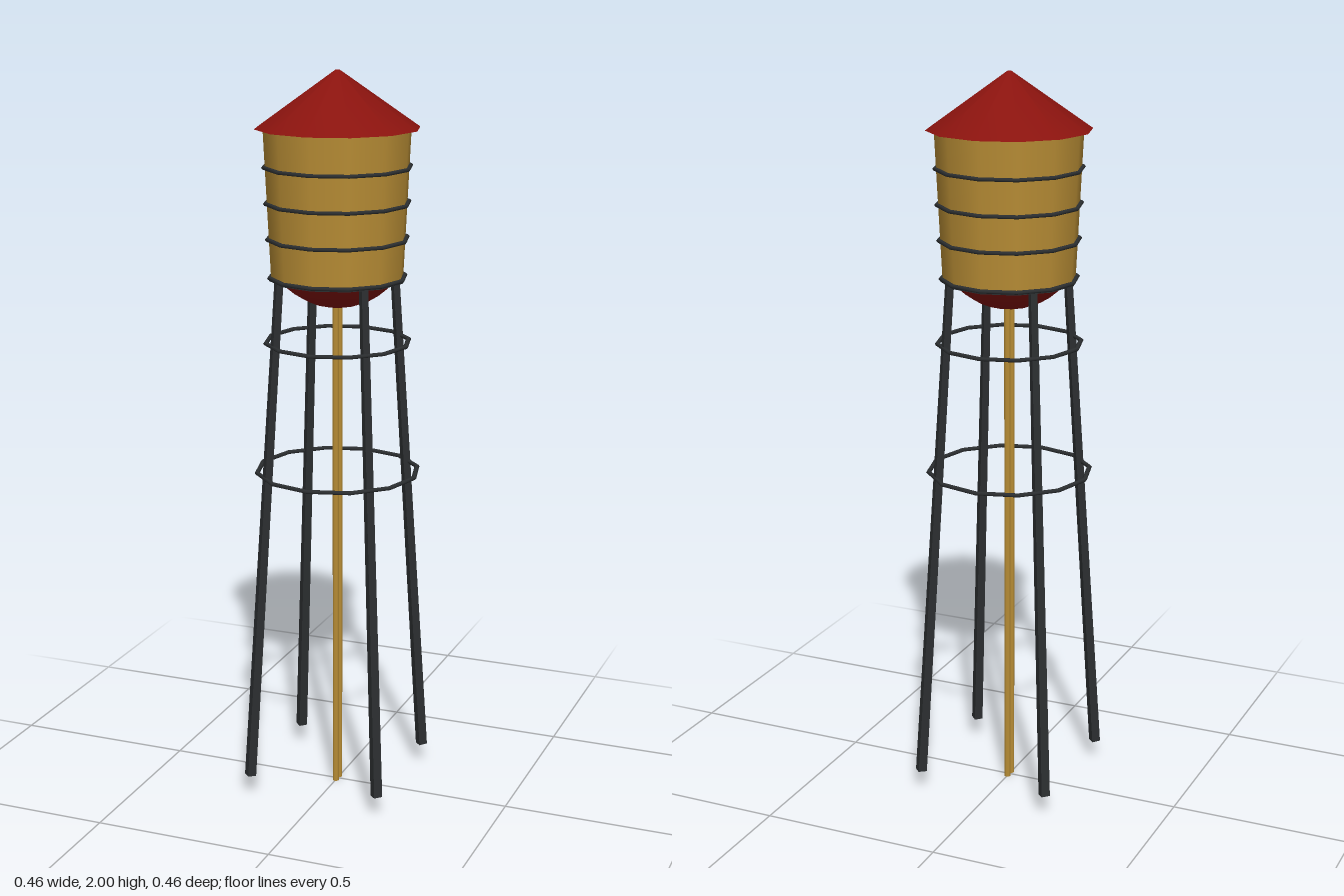
import * as THREE from 'three';

const SIDES = 12;
const red = new THREE.MeshStandardMaterial({ color: 0x8a130e });
const gold = new THREE.MeshStandardMaterial({ color: 0xb88d35 });
const dark = new THREE.MeshStandardMaterial({ color: 0x2c2f31 });

export function createModel() {
  const model = new THREE.Group();
  model.name = 'waterTower';

  const add = (name, geometry, material, x = 0, y = 0, z = 0) => {
    const mesh = new THREE.Mesh(geometry, material);
    mesh.name = name;
    mesh.position.set(x, y, z);
    model.add(mesh);
    return mesh;
  };

  // Twelve-sided hoop lying flat, measured to its outer corners
  const hoop = (name, outer, y, tube) => {
    const geometry = new THREE.TorusGeometry(outer - tube, tube, 6, SIDES);
    geometry.rotateX(Math.PI / 2);
    // slightly flattened section
    geometry.scale(1, 0.75, 1);
    return add(name, geometry, dark, 0, y, 0);
  };

  // Conical roof with closed underside
  add('roof', new THREE.CylinderGeometry(0.006, 0.22, 0.15, SIDES), red, 0, 1.925, 0);

  // Tapered tank and its bands
  add('tank', new THREE.CylinderGeometry(0.197, 0.178, 0.395, SIDES), gold, 0, 1.6525, 0);
  [[0.202, 1.75], [0.198, 1.655], [0.194, 1.56], [0.189, 1.457]].forEach(([r, y], i) =>
    hoop('tankBand' + (i + 1), r, y, 0.007));

  // Base plate and shallow bowl under the tank
  add('basePlate', new THREE.CylinderGeometry(0.184, 0.184, 0.01, SIDES), dark, 0, 1.455, 0);
  const R = 0.2;
  const bowl = [];
  for (let i = 0; i <= 6; i++) {
    const a = (i / 6) * Math.asin(0.16 / R);
    bowl.push(new THREE.Vector2(R * Math.sin(a), 1.575 - R * Math.cos(a)));
  }
  add('bowl', new THREE.LatheGeometry(bowl, SIDES), red);

  // Four splayed square legs, one on each diagonal
  const up = new THREE.Vector3(0, 1, 0);
  for (const sx of [1, -1]) {
    for (const sz of [1, -1]) {
      const foot = new THREE.Vector3(sx * 0.188, 0.06, sz * 0.188);
      const top = new THREE.Vector3(sx * 0.119, 1.455, sz * 0.119);
      const dir = top.clone().sub(foot);
      // unrotated four-sided prism has its corners on the axes, so its faces point along the diagonals
      const geometry = new THREE.CylinderGeometry(0.013, 0.017, dir.length(), 4).toNonIndexed();
      geometry.computeVertexNormals();
      const mid = foot.clone().add(top).multiplyScalar(0.5);
      const leg = add((sz > 0 ? 'front' : 'back') + (sx > 0 ? 'Left' : 'Right') + 'Leg',
        geometry, dark, mid.x, mid.y, mid.z);
      leg.quaternion.setFromUnitVectors(up, dir.normalize());
    }
  }

  // Bracing hoops around the legs
  hoop('upperBrace', 0.201, 1.28, 0.007);
  hoop('lowerBrace', 0.228, 0.92, 0.007);

  // Pair of feed pipes from the ground to the bowl
  for (const s of [1, -1]) {
    add(s > 0 ? 'frontPipe' : 'backPipe',
      new THREE.CylinderGeometry(0.009, 0.009, 1.39, 8), gold, 0, 0.695, s * 0.0135);
  }

  return model;
}
